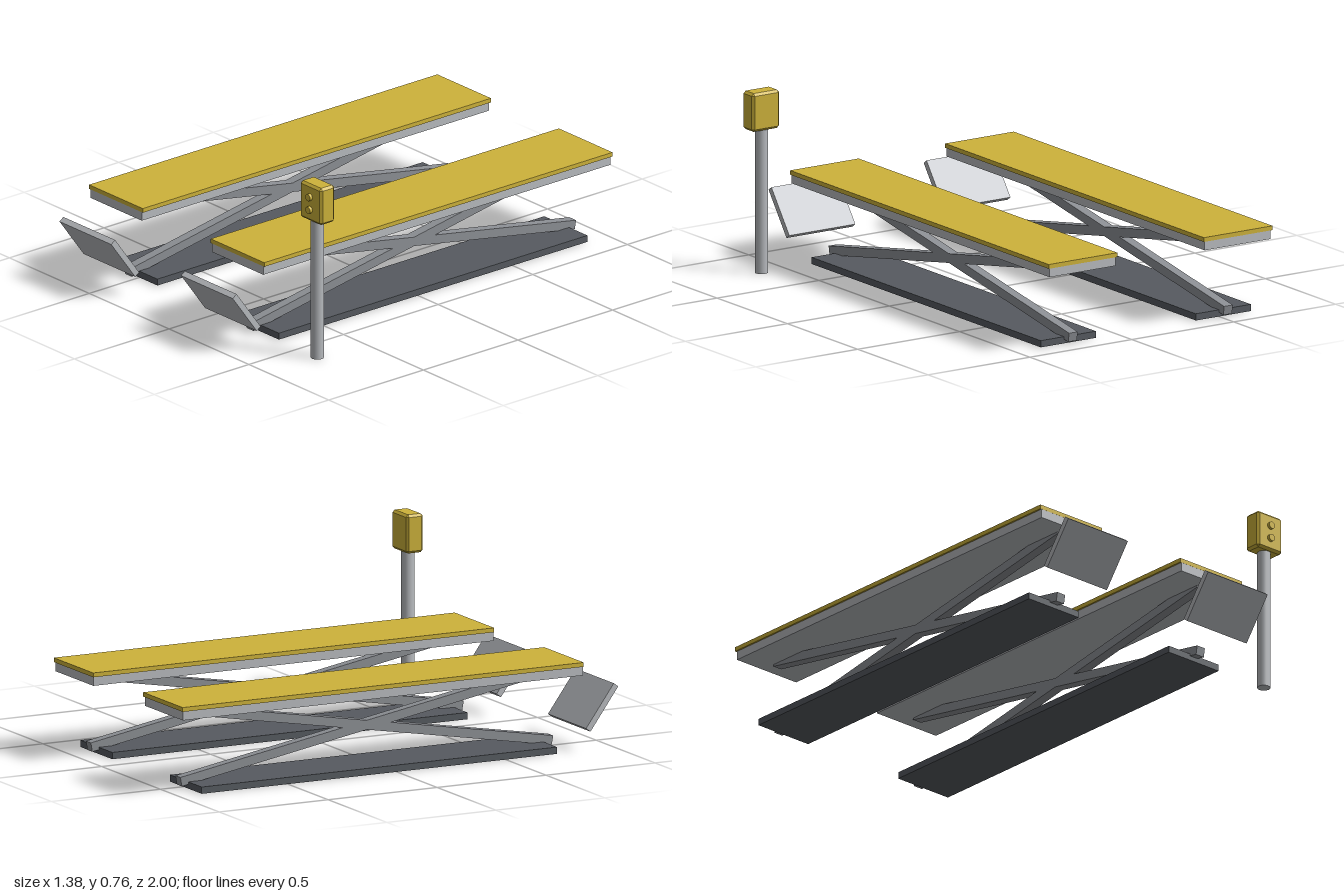
import * as THREE from 'three';
import { ConvexGeometry } from 'three/addons/geometries/ConvexGeometry.js';

const material = (name, color) => {
  const m = new THREE.MeshStandardMaterial({ color });
  m.name = name;
  return m;
};

// Box with a single flat bevel along every edge
function chamferedBox(w, h, d, b) {
  const [x, y, z] = [w / 2, h / 2, d / 2];
  const points = [];
  for (const i of [-1, 1]) for (const j of [-1, 1]) for (const k of [-1, 1]) {
    points.push(
      new THREE.Vector3(i * x, j * (y - b), k * (z - b)),
      new THREE.Vector3(i * (x - b), j * y, k * (z - b)),
      new THREE.Vector3(i * (x - b), j * (y - b), k * z)
    );
  }
  return new ConvexGeometry(points);
}

export function createModel() {
  const yellow = material('safetyYellow', 0xcdb23a);
  const lightGrey = material('lightSteel', 0xb9bcc0);
  const midGrey = material('armSteel', 0x8d9095);
  const darkGrey = material('baseSteel', 0x565a60);

  const model = new THREE.Group();
  model.name = 'scissorLift';

  const add = (parent, name, geometry, mat, x, y, z, rx = 0) => {
    const mesh = new THREE.Mesh(geometry, mat);
    mesh.name = name;
    mesh.position.set(x, y, z);
    mesh.rotation.x = rx;
    parent.add(mesh);
  };
  const box = (w, h, d) => new THREE.BoxGeometry(w, h, d);

  // Two identical lifting platforms
  for (const [name, x] of [['rightPlatform', -0.522], ['leftPlatform', 0.239]]) {
    const platform = new THREE.Group();
    platform.name = name;
    platform.position.x = x;
    add(platform, 'basePlate', box(0.27, 0.028, 1.63), darkGrey, 0, 0.014, -0.08);
    // Crossed arms
    for (const s of [-1, 1]) {
      add(platform, 'scissorArm', box(0.042, 0.038, 1.73), midGrey, 0, 0.18, -0.076, s * 0.173);
    }
    add(platform, 'deckFrame', box(0.322, 0.037, 1.835), lightGrey, 0, 0.3365, -0.078);
    add(platform, 'deckTop', box(0.336, 0.018, 1.84), yellow, 0, 0.364, -0.08);
    // Tilted approach flap
    add(platform, 'rampFlap', box(0.324, 0.025, 0.216), lightGrey, 0, 0.177, 0.928, -0.94);
    model.add(platform);
  }

  // Control stand
  const stand = new THREE.Group();
  stand.name = 'controlStand';
  stand.position.set(0.619, 0, 0.738);
  add(stand, 'post', new THREE.CylinderGeometry(0.027, 0.027, 0.6, 16), lightGrey, -0.001, 0.3, 0);
  add(stand, 'controlBox', chamferedBox(0.134, 0.16, 0.077, 0.01), yellow, 0, 0.681, 0);
  for (const y of [0.653, 0.708]) {
    add(stand, 'button', new THREE.CylinderGeometry(0.015, 0.015, 0.016, 16), yellow, -0.001, y, 0.043, Math.PI / 2);
  }
  model.add(stand);

  return model;
}
